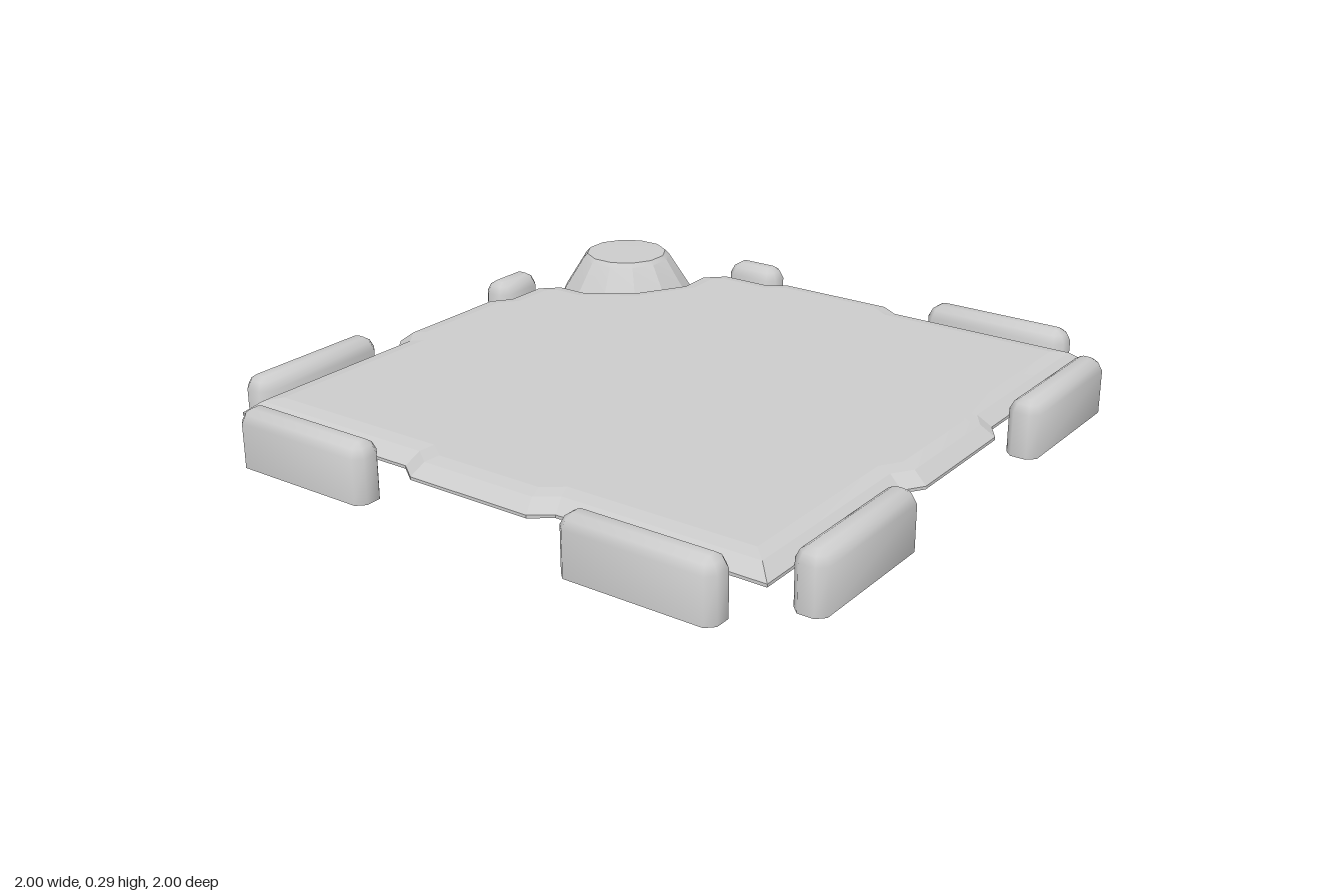
import * as THREE from 'three';
import { toCreasedNormals } from 'three/addons/utils/BufferGeometryUtils.js';

// Every part is a thin shell, open underneath
const material = new THREE.MeshStandardMaterial({ color: 0xcccccc, side: THREE.DoubleSide });

// Moves a clockwise [x, z] outline inward by d with mitred corners
function inset(ring, d) {
  const n = ring.length;
  const normal = (a, b) => {
    const l = Math.hypot(b[0] - a[0], b[1] - a[1]);
    return [-(b[1] - a[1]) / l, (b[0] - a[0]) / l];
  };
  return ring.map((p, i) => {
    const u = normal(ring[(i + n - 1) % n], p), v = normal(p, ring[(i + 1) % n]);
    const k = d / (1 + u[0] * v[0] + u[1] * v[1]);
    return [p[0] + k * (u[0] + v[0]), p[1] + k * (u[1] + v[1])];
  });
}

// Shell from one outline, closed on top: each level is [height, inset]
function loft(outline, levels, crease) {
  const rings = levels.map(([y, d]) => inset(outline, d).map(([x, z]) => new THREE.Vector3(x, y, z)));
  const pts = [], n = outline.length;
  for (let k = 0; k + 1 < rings.length; k++) {
    for (let i = 0; i < n; i++) {
      const j = (i + 1) % n, lo = rings[k], hi = rings[k + 1];
      pts.push(lo[i], hi[i], lo[j], lo[j], hi[i], hi[j]);
    }
  }
  const top = rings[rings.length - 1];
  const flat = top.map((p) => new THREE.Vector2(p.x, p.z));
  for (const t of THREE.ShapeUtils.triangulateShape(flat, [])) {
    const [a, b, c] = t.map((i) => top[i]);
    const facesUp = (b.z - a.z) * (c.x - a.x) > (b.x - a.x) * (c.z - a.z);
    if (facesUp) pts.push(a, b, c);
    else pts.push(a, c, b);
  }
  return toCreasedNormals(new THREE.BufferGeometry().setFromPoints(pts), crease);
}

export function createModel() {
  const model = new THREE.Group();
  const add = (name, geometry, x = 0, y = 0, z = 0) => {
    const mesh = new THREE.Mesh(geometry, material);
    mesh.name = name;
    mesh.position.set(x, y, z);
    model.add(mesh);
    return mesh;
  };

  // Floor plate: a tab on each side and a cut back-left corner
  const outline = [
    [-0.9, -0.9], [-0.26, -0.9], [-0.2, -0.945], [0.2, -0.945], [0.26, -0.9], [0.4, -0.9],
    [0.475, -0.82], [0.475, -0.72], [0.565, -0.59], [0.7, -0.51], [0.82, -0.515], [0.9, -0.43],
    [0.9, -0.26], [0.94, -0.2], [0.94, 0.2], [0.9, 0.26],
    [0.9, 0.9], [0.26, 0.9], [0.2, 0.94], [-0.2, 0.94], [-0.26, 0.9],
    [-0.9, 0.9], [-0.9, 0.26], [-0.945, 0.2], [-0.945, -0.2], [-0.9, -0.26],
  ];
  add('floorPlate', loft(outline, [[0.197, 0], [0.206, 0], [0.238, 0.042], [0.245, 0.085]], 0.1));

  // Bumpers: upright bars with rounded ends and tops
  const bumper = (name, length, x, z, alongZ) => {
    const a = length / 2, b = 0.048, c = 0.024;
    const ring = [
      [-a, c - b], [c - a, -b], [a - c, -b], [a, c - b],
      [a, b - c], [a - c, b], [c - a, b], [-a, b - c],
    ];
    const levels = [[0.097, 0], [0.232, 0], [0.257, 0.012], [0.27, 0.031]];
    const mesh = add(name, loft(ring, levels, 0.9), x, 0, z);
    if (alongZ) mesh.rotation.y = Math.PI / 2;
  };
  const edge = 0.952;
  for (const s of [-1, 1]) {
    bumper('frontBumper', 0.475, s * 0.573, edge, false);
    bumper('sideBumper', 0.475, s * edge, 0.573, true);
  }
  bumper('backBumper', 0.475, -0.573, -edge, false);
  bumper('rightBackBumper', 0.475, -edge, -0.575, true);
  bumper('shortBackBumper', 0.185, 0.35, -edge, false);
  bumper('shortSideBumper', 0.185, edge, -0.35, true);

  // Corner post: hexagonal stem under a twelve-sided cap with a low crown
  const px = 0.75, pz = -0.765;
  const stem = new THREE.CylinderGeometry(0.134, 0.134, 0.16, 6, 1, true);
  stem.rotateY(Math.PI / 6);
  add('postStem', stem, px, 0.08, pz);
  const profile = [[0.227, 0.155], [0.15, 0.278], [0.137, 0.292], [0, 0.295]]
    .map(([r, y]) => new THREE.Vector2(r, y));
  add('postCap', toCreasedNormals(new THREE.LatheGeometry(profile, 12, Math.PI / 12), 0.4), px, 0, pz);

  // Channel under the plate joining the post
  const width = 0.22, length = 0.5, x = 0.72, z = -0.43;
  const top = add('channelTop', new THREE.PlaneGeometry(width, length), x, 0.154, z);
  top.rotation.x = -Math.PI / 2;
  for (const s of [-1, 1]) {
    const wall = add('channelWall', new THREE.PlaneGeometry(length, 0.057), x + s * width / 2, 0.1255, z);
    wall.rotation.y = s * Math.PI / 2;
  }

  return model;
}
